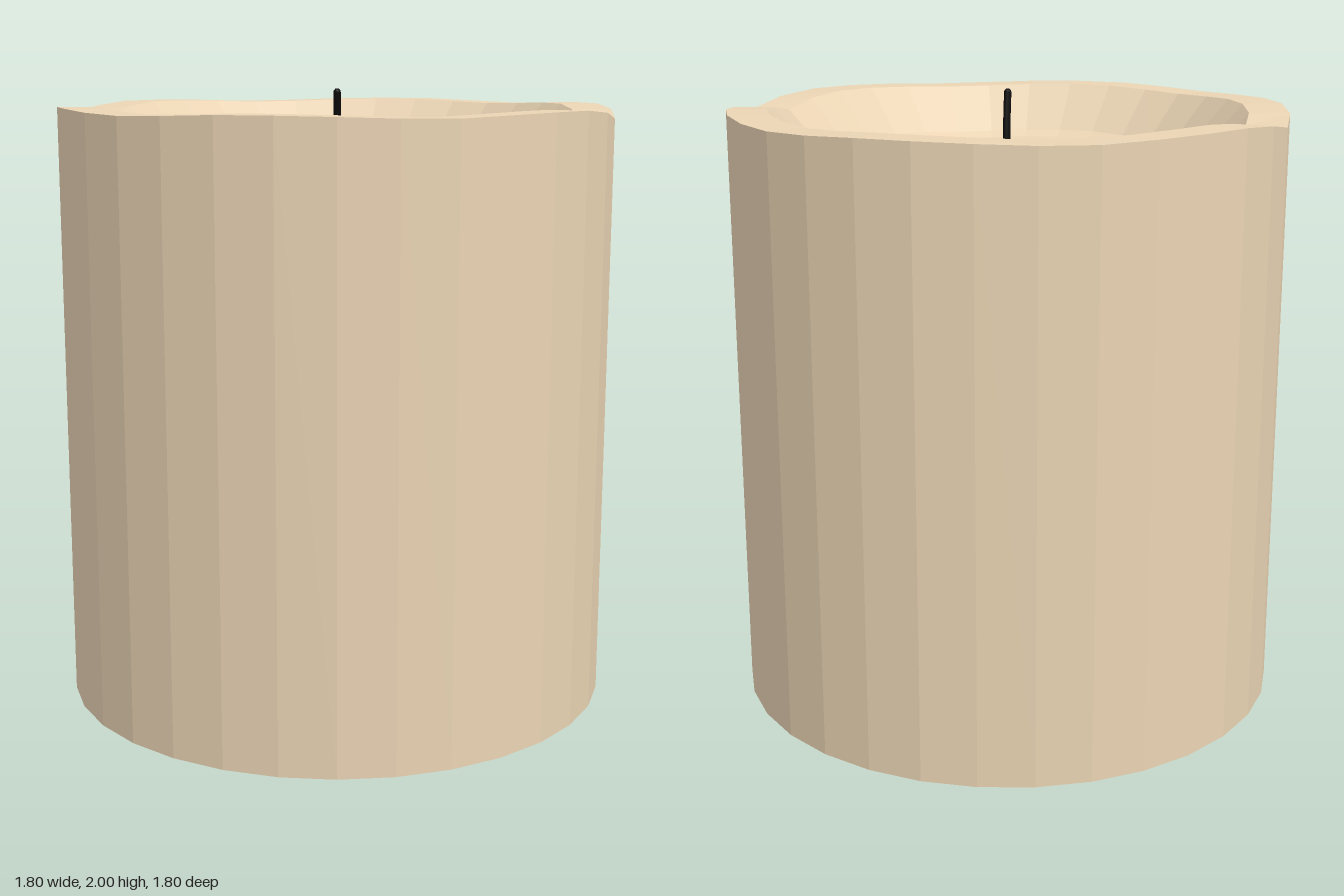
import * as THREE from 'three';

const SIDES = 32;

// Height change of the melted rim over half a turn; the other half repeats it.
// Entry 1 is the sharp fold in the wax.
const SAG = [-0.012, -0.036, -0.012, 0, 0, -0.004, -0.01, -0.008, -0.003, 0, 0, -0.006, -0.01, -0.006, 0, 0];

// Cross-section from the base centre, over the rim, to the middle of the pool:
// radius, height, share of the sag, height of the puckers
const PROFILE = [
  [0, 0, 0, 0],
  [0.9, 0, 0, 0],
  [0.9, 1.945, 1, 0],
  [0.77, 1.945, 1, 0],
  [0.635, 1.795, 0.9, 0],
  [0.6, 1.775, 0.8, 0],
  [0.4, 1.755, 0.6, 0],
  [0.21, 1.737, 0.35, 0],
  [0.17, 1.725, 0.2, 0],
  [0.1, 1.722, 0, 0.005],
  [0.075, 1.722, 0, 0.014],
  [0.045, 1.722, 0, 0.004],
  [0, 1.715, 0, 0],
];

function waxGeometry() {
  const points = [];
  const index = [];
  const row = SIDES + 1;
  PROFILE.forEach(([r, y, sag, pucker], i) => {
    for (let j = 0; j <= SIDES; j++) {
      const a = (j / SIDES) * Math.PI * 2;
      const h = y + sag * SAG[j % 16] + pucker * Math.sin(a * 8 + 0.6);
      points.push(r * Math.cos(a), h, r * Math.sin(a));
      if (i === PROFILE.length - 1 || j === SIDES) continue;
      const p = i * row + j;
      const q = p + row;
      if (PROFILE[i + 1][0] > 0) index.push(p, q, q + 1);
      if (r > 0) index.push(p, PROFILE[i + 1][0] > 0 ? q + 1 : q, p + 1);
    }
  });
  const geometry = new THREE.BufferGeometry();
  geometry.setAttribute('position', new THREE.Float32BufferAttribute(points, 3));
  geometry.setIndex(index);
  const flat = geometry.toNonIndexed();
  flat.computeVertexNormals();
  return flat;
}

export function createModel() {
  const group = new THREE.Group();
  group.name = 'candle';
  const waxMaterial = new THREE.MeshStandardMaterial({ color: 0xead4b4, flatShading: true });
  const wickMaterial = new THREE.MeshStandardMaterial({ color: 0x0a0a0a });

  // Pillar of wax with its hollow melt pool
  const wax = new THREE.Mesh(waxGeometry(), waxMaterial);
  wax.name = 'waxBody';
  group.add(wax);

  // Two small flakes of wax on either side of the wick
  for (const side of [-1, 1]) {
    const flake = new THREE.Mesh(new THREE.BoxGeometry(0.035, 0.02, 0.03), waxMaterial);
    flake.position.set(side * 0.083, 1.732, side * 0.018);
    flake.rotation.set(0, -0.2, side * 0.3);
    flake.name = side < 0 ? 'rightWaxFlake' : 'leftWaxFlake';
    group.add(flake);
  }

  // Wick, bending forward, with a rounded tip
  const path = new THREE.CatmullRomCurve3([
    new THREE.Vector3(0, 1.7, -0.02),
    new THREE.Vector3(0.003, 1.8, -0.012),
    new THREE.Vector3(0.004, 1.9, 0.004),
    new THREE.Vector3(0.003, 1.988, 0.021),
  ]);
  const wick = new THREE.Group();
  wick.name = 'wick';
  const stem = new THREE.Mesh(new THREE.TubeGeometry(path, 10, 0.012, 8), wickMaterial);
  stem.name = 'wickStem';
  const tip = new THREE.Mesh(new THREE.SphereGeometry(0.012, 8, 6), wickMaterial);
  tip.name = 'wickTip';
  tip.position.copy(path.getPoint(1));
  wick.add(stem, tip);
  group.add(wick);

  return group;
}
